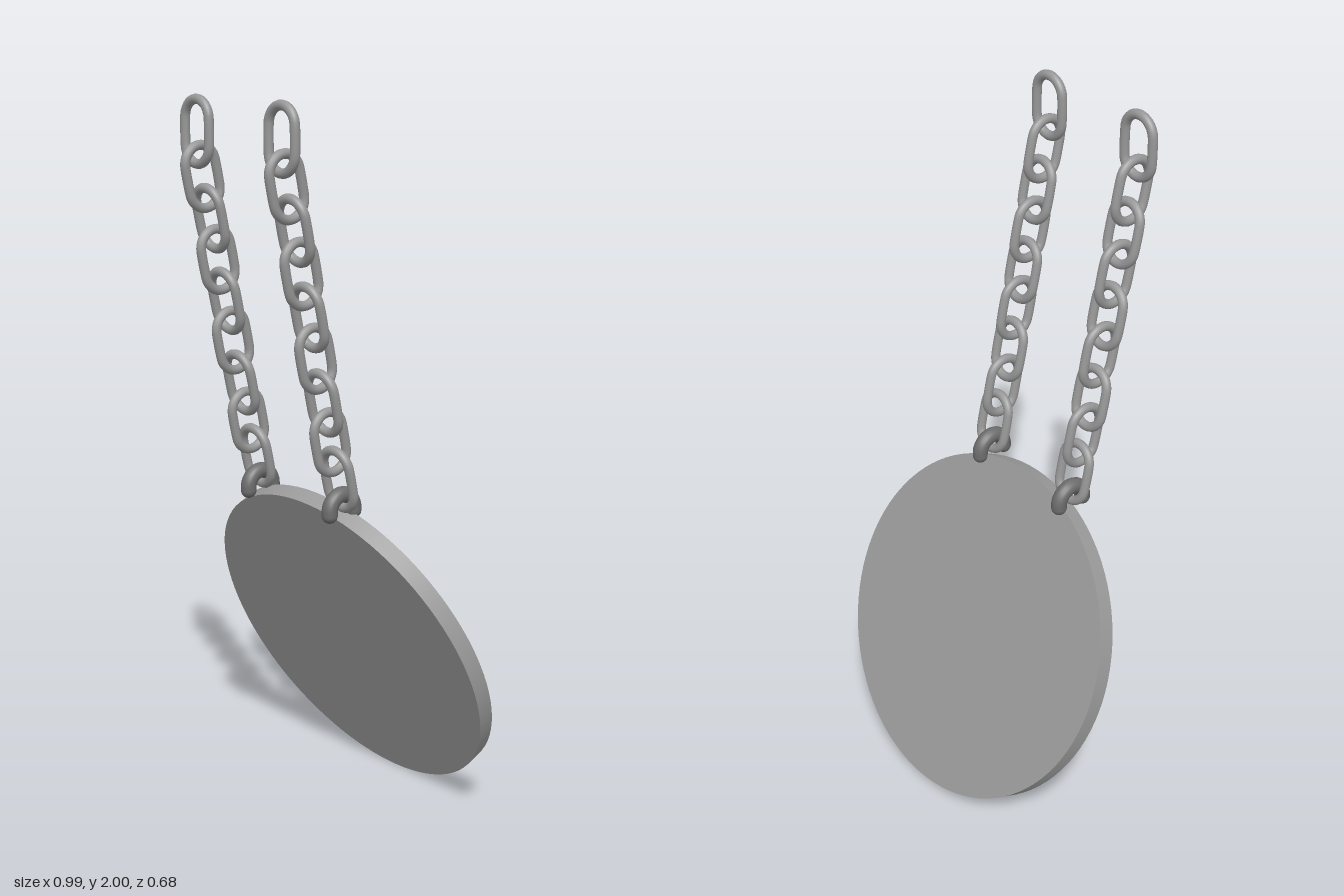
import * as THREE from 'three';

const discMetal = new THREE.MeshStandardMaterial({ name: 'disc grey', color: 0x9b9b9b });
const chainMetal = new THREE.MeshStandardMaterial({ name: 'chain grey', color: 0x969696 });
const stapleMetal = new THREE.MeshStandardMaterial({ name: 'staple dark grey', color: 0x6c6c6c });

const DISC_TILT = THREE.MathUtils.degToRad(-66);
const CHAIN_TILT = THREE.MathUtils.degToRad(12.2);

// Stadium-shaped chain link standing in the xy plane
function linkGeometry(halfWidth, halfStraight, tube) {
  const path = new THREE.CurvePath();
  const arc = (y, from) => {
    const points = [];
    for (let i = 0; i <= 12; i++) {
      const a = from + (i / 12) * Math.PI;
      points.push(new THREE.Vector3(Math.cos(a) * halfWidth, y + Math.sin(a) * halfWidth, 0));
    }
    return points;
  };
  const points = [...arc(halfStraight, 0), ...arc(-halfStraight, Math.PI)];
  points.forEach((p, i) => path.add(new THREE.LineCurve3(p, points[(i + 1) % points.length])));
  const smooth = new THREE.CatmullRomCurve3(points, true, 'centripetal');
  return new THREE.TubeGeometry(smooth, 56, tube, 12, true);
}

// Short arch over the disc rim, lying in the yz plane, with rounded ends
function createStaple() {
  const staple = new THREE.Group();
  const radius = 0.043, tube = 0.022, leg = 0.008;
  const arch = new THREE.Mesh(new THREE.TorusGeometry(radius, tube, 16, 24, Math.PI), stapleMetal);
  arch.rotation.y = Math.PI / 2;
  arch.name = 'stapleArch';
  staple.add(arch);
  for (const side of [-1, 1]) {
    const foot = new THREE.Mesh(new THREE.CapsuleGeometry(tube, leg, 6, 16), stapleMetal);
    foot.position.set(0, -leg / 2, side * radius);
    foot.name = 'stapleLeg';
    staple.add(foot);
  }
  return staple;
}

export function createModel() {
  const model = new THREE.Group();
  model.name = 'hangingDisc';

  // Tilted round plate
  const disc = new THREE.Mesh(new THREE.CylinderGeometry(0.497, 0.497, 0.05, 96), discMetal);
  disc.rotation.x = DISC_TILT;
  disc.position.set(-0.002, 0.465, -0.115);
  disc.name = 'disc';
  model.add(disc);

  // Link centres from top to bottom as [y, z], alternating front-facing and sideways
  const centres = [
    [1.904, 0.289], [1.786, 0.273], [1.674, 0.248], [1.562, 0.225], [1.447, 0.200],
    [1.336, 0.177], [1.214, 0.151], [1.104, 0.126], [0.997, 0.096],
  ];
  const link = linkGeometry(0.05, 0.034, 0.0132);

  for (const [x, side] of [[-0.172, 'right'], [0.168, 'left']]) {
    const chain = new THREE.Group();
    chain.name = side + 'Chain';
    chain.position.x = x;
    centres.forEach(([y, z], i) => {
      const mesh = new THREE.Mesh(link, chainMetal);
      mesh.position.set(0, y, z);
      // The top link hangs upright, the rest follow the lean of the chain
      mesh.rotation.set(i === 0 ? 0 : CHAIN_TILT, i % 2 ? Math.PI / 2 : 0, 0);
      mesh.name = 'chainLink';
      chain.add(mesh);
    });

    const staple = createStaple();
    staple.name = side + 'Staple';
    staple.position.set(0, 0.91, 0.085);
    chain.add(staple);
    model.add(chain);
  }
  return model;
}
